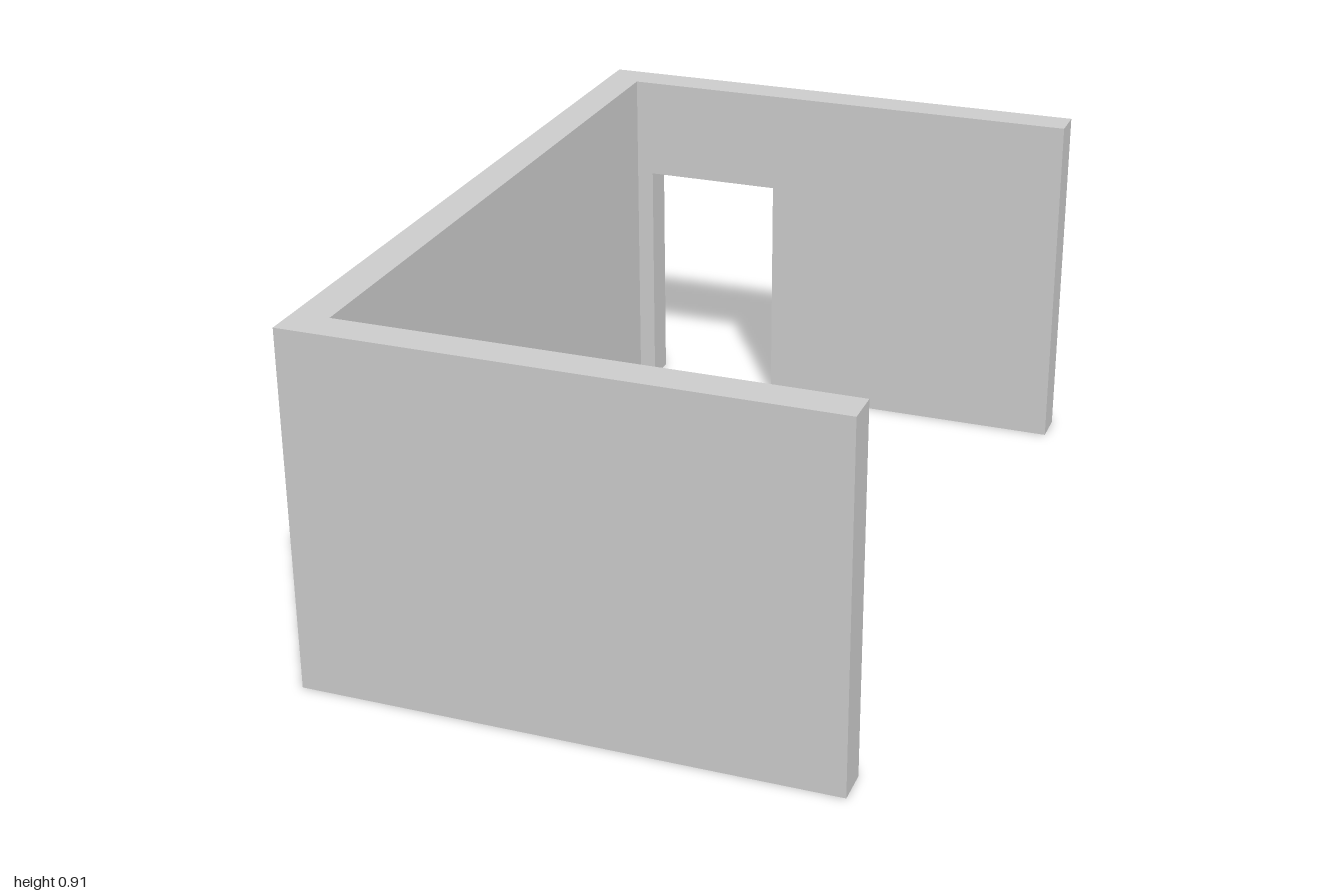
import * as THREE from 'three';

const WIDTH = 1.32, HEIGHT = 0.91, DEPTH = 2, THICK = 0.09;
const DOOR = { left: -0.525, right: -0.16, height: 0.64 };

export function createModel() {
  const group = new THREE.Group();
  const material = new THREE.MeshStandardMaterial({ color: 0xcccccc });
  const x0 = -WIDTH / 2, x1 = WIDTH / 2;
  const inner = x0 + THICK;

  const add = (name, geometry, x, y, z) => {
    const mesh = new THREE.Mesh(geometry, material);
    mesh.name = name;
    mesh.position.set(x, y, z);
    group.add(mesh);
  };

  // Long closed wall on the model's right, between the two end walls
  add('sideWall', new THREE.BoxGeometry(THICK, HEIGHT, DEPTH - 2 * THICK),
    (x0 + inner) / 2, HEIGHT / 2, 0);

  // Solid front wall
  add('frontWall', new THREE.BoxGeometry(WIDTH, HEIGHT, THICK),
    0, HEIGHT / 2, DEPTH / 2 - THICK / 2);

  // Back wall, its outline notched by a doorway open to the ground
  const outline = new THREE.Shape([
    [x0, 0], [DOOR.left, 0], [DOOR.left, DOOR.height], [DOOR.right, DOOR.height],
    [DOOR.right, 0], [x1, 0], [x1, HEIGHT], [x0, HEIGHT],
  ].map(([x, y]) => new THREE.Vector2(x, y)));
  add('backWallWithDoorway',
    new THREE.ExtrudeGeometry(outline, { depth: THICK, bevelEnabled: false }),
    0, 0, -DEPTH / 2);

  return group;
}
